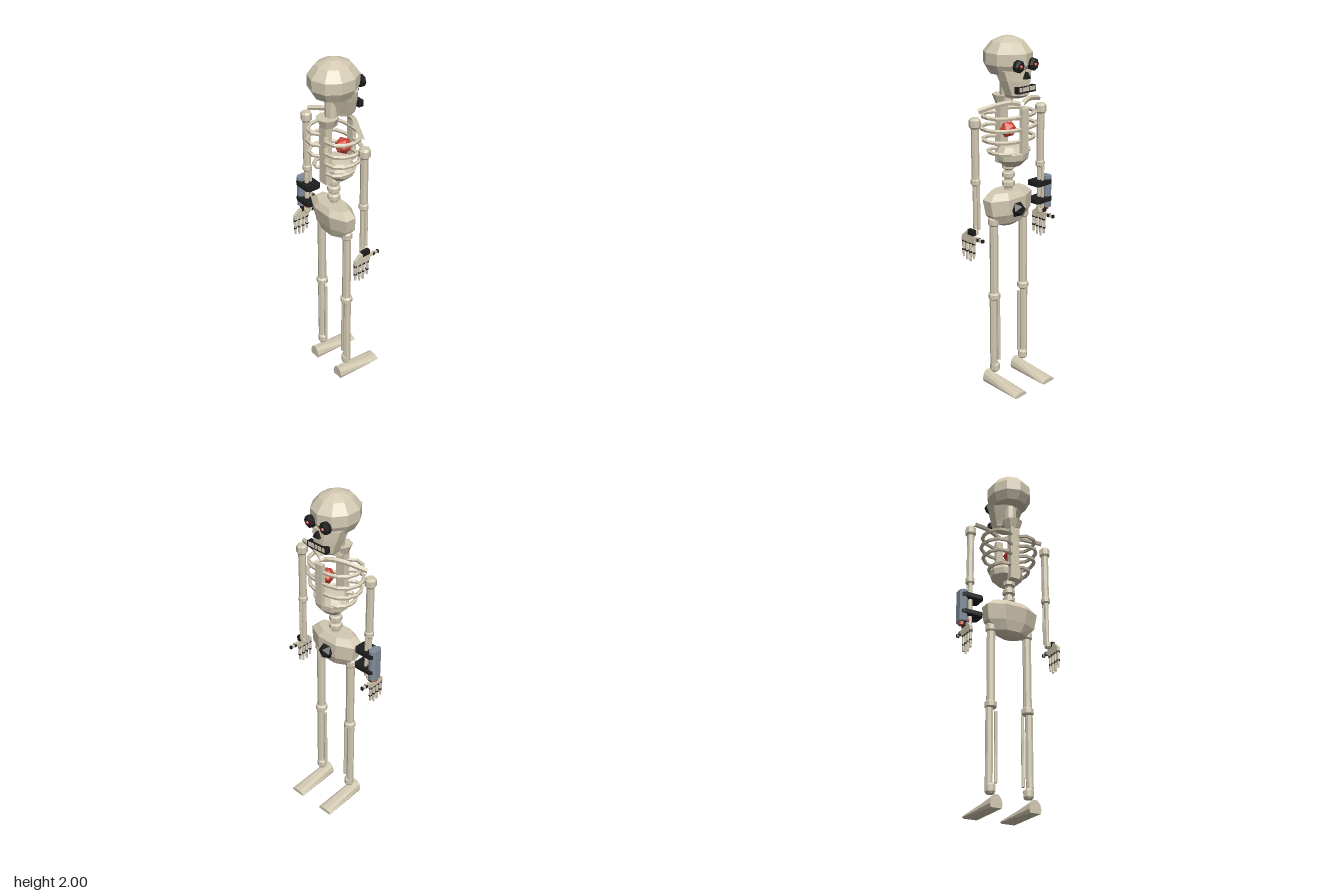
import * as THREE from 'three';

const mat = (name, color) => {
  const m = new THREE.MeshStandardMaterial({ color });
  m.name = name;
  return m;
};

// Faceted copy of a geometry
const facet = (g) => {
  const f = g.index ? g.toNonIndexed() : g;
  f.computeVertexNormals();
  return f;
};

// Closed skin through equal-sized rings of [x, y, z] points
function loft(rings) {
  const n = rings[0].length, tri = [];
  const mid = (r) => [0, 1, 2].map((k) => r.reduce((s, p) => s + p[k], 0) / n);
  for (let i = 0; i < n; i++) {
    const j = (i + 1) % n;
    for (let k = 0; k + 1 < rings.length; k++) {
      const [a, b] = [rings[k], rings[k + 1]];
      tri.push([a[i], a[j], b[j]], [a[i], b[j], b[i]]);
    }
    const e = rings[rings.length - 1];
    tri.push([mid(rings[0]), rings[0][j], rings[0][i]], [mid(e), e[i], e[j]]);
  }
  // Turn the corners outward
  let vol = 0;
  for (const [a, b, c] of tri) {
    vol += new THREE.Vector3(...a).dot(new THREE.Vector3(...b).cross(new THREE.Vector3(...c)));
  }
  if (vol < 0) tri.forEach((t) => t.reverse());
  const g = new THREE.BufferGeometry();
  g.setAttribute('position', new THREE.Float32BufferAttribute(tri.flat(2), 3));
  return g;
}

// Level ring of n points with half width w between depths z0 and z1
const ring = (n, y, w, z0, z1) => Array.from({ length: n }, (_, i) => {
  const a = ((i + 0.5) / n) * Math.PI * 2, k = 1 / Math.cos(Math.PI / n);
  return [Math.sin(a) * w * k, y, (z0 + z1) / 2 + (Math.cos(a) * k * (z1 - z0)) / 2];
});

export function createModel() {
  const bone = mat('bone', 0xd3c9b2), black = mat('black', 0x1d1d1e);
  const red = mat('red', 0xd2483a), steel = mat('steel', 0x808c9a);
  const model = new THREE.Group();
  const body = new THREE.Group();
  body.name = 'skeleton';
  body.position.x = 0.012;
  model.add(body);

  const add = (name, geo, m, x = 0, y = 0, z = 0, parent = body) => {
    const mesh = new THREE.Mesh(facet(geo), m);
    mesh.name = name;
    mesh.position.set(x, y, z);
    parent.add(mesh);
    return mesh;
  };
  const box = (name, m, w, h, d, x, y, z, parent) =>
    add(name, new THREE.BoxGeometry(w, h, d), m, x, y, z, parent);
  // Upright rod from y0 to y1
  const rod = (name, m, r, y0, y1, x, z, parent, r1 = r) =>
    add(name, new THREE.CylinderGeometry(r1, r, y1 - y0, 8), m, x, (y0 + y1) / 2, z, parent);
  const lathe = (name, m, pts, seg, x, y, z, parent) =>
    add(name, new THREE.LatheGeometry(pts.map((p) => new THREE.Vector2(...p)), seg), m, x, y, z, parent);
  const joint = (name, r, y0, y1, x, z, parent) => lathe(name, bone,
    [[0, y0], [r * 0.75, y0], [r, y0 + (y1 - y0) * 0.2], [r, y0 + (y1 - y0) * 0.8], [r * 0.7, y1], [0, y1]],
    8, x, 0, z, parent);
  const tube = (name, pts, r) => add(name, new THREE.TubeGeometry(
    new THREE.CatmullRomCurve3(pts.map((p) => new THREE.Vector3(...p))), 8, r, 5), bone);

  // Skull
  const cranium = lathe('cranium', bone, [[0, 1.8], [0.1, 1.81], [0.127, 1.86], [0.127, 1.92],
    [0.085, 1.973], [0.03, 1.998], [0, 2]], 10, 0, 0, 0.036);
  cranium.scale.z = 1.07;
  add('jaw', loft([ring(8, 1.69, 0.053, -0.07, 0.03), ring(8, 1.705, 0.06, -0.092, 0.035),
    ring(8, 1.78, 0.085, -0.093, 0.062), ring(8, 1.835, 0.1, -0.09, 0.085)]), bone);
  for (const s of [-1, 1]) {
    const eye = lathe('eyeSocket', black, [[0, -0.035], [0.033, -0.03], [0.033, -0.008], [0.02, 0], [0, 0]],
      8, s * 0.052, 1.862, -0.113);
    eye.rotation.x = -Math.PI / 2;
    add('pupil', new THREE.IcosahedronGeometry(0.01, 0), red, s * 0.052, 1.862, -0.114);
  }
  const nose = add('nose', new THREE.CylinderGeometry(0.024, 0.024, 0.03, 3), black, 0, 1.805, -0.097);
  nose.rotation.x = -Math.PI / 2;
  box('mouth', black, 0.13, 0.034, 0.03, 0, 1.738, -0.091);
  for (let i = 0; i < 5; i++) box('tooth', bone, 0.017, 0.022, 0.008, (i - 2) * 0.024, 1.742, -0.106);

  // Neck, spine and lower vertebrae
  rod('neck', bone, 0.035, 1.64, 1.8, 0, 0.05);
  rod('neckBase', bone, 0.04, 1.64, 1.69, 0, 0.075, body, 0.06);
  box('spine', bone, 0.056, 0.33, 0.042, 0, 1.475, 0.088);
  rod('lowerSpine', bone, 0.022, 1.14, 1.33, 0, 0.035);
  for (const y of [1.3, 1.25, 1.2]) joint('vertebra', 0.036, y - 0.018, y + 0.02, 0, 0.035);

  // Rib cage
  box('breastbone', bone, 0.045, 0.24, 0.025, 0, 1.515, -0.083);
  for (const [y, k] of [[1.59, 0.95], [1.525, 1], [1.46, 0.92], [1.39, 0.7]]) {
    for (const s of [-1, 1]) {
      const path = [[0.02, 0.07], [0.08, 0.105], [0.14, 0.07], [0.163, 0], [0.14, -0.07], [0.08, -0.105], [0, -0.113]];
      tube('rib', path.map(([x, z]) => [s * x * k, y, 0.032 + z * (0.35 + 0.65 * k)]), 0.011);
    }
  }
  for (const s of [-1, 1]) {
    tube('collarbone', [[s * 0.01, 1.655, -0.06], [s * 0.06, 1.668, -0.045], [s * 0.13, 1.66, -0.012], [s * 0.225, 1.637, 0.03]], 0.014);
  }
  add('heart', new THREE.IcosahedronGeometry(0.047, 0), red, 0.035, 1.515, 0.0);
  lathe('lowerRibBowl', bone, [[0, 1.305], [0.05, 1.31], [0.094, 1.35], [0.1, 1.385], [0.075, 1.425], [0, 1.43]],
    10, 0, 0, 0.005).scale.z = 0.85;

  // Pelvis
  add('pelvis', loft([ring(8, 0.965, 0.045, 0.015, 0.07), ring(8, 0.99, 0.1, -0.015, 0.09),
    ring(8, 1.045, 0.145, -0.035, 0.105), ring(8, 1.13, 0.157, -0.035, 0.12), ring(8, 1.165, 0.115, -0.01, 0.1)]), bone);
  add('pelvisCore', new THREE.IcosahedronGeometry(0.046, 0), black, 0, 1.065, -0.034);

  const footRing = (z, w, h) => [[-0.85, 0], [-1, 0.3], [-0.8, 0.72], [-0.35, 1], [0.35, 1], [0.8, 0.72], [1, 0.3], [0.85, 0]]
    .map(([x, y]) => [x * w, y * h, z]);

  for (const s of [-1, 1]) {
    // Leg
    const leg = new THREE.Group();
    leg.name = 'leg';
    leg.position.x = s * 0.113;
    body.add(leg);
    joint('hipJoint', 0.031, 0.98, 1.03, 0, 0.035, leg);
    rod('thighBone', bone, 0.024, 0.57, 1, 0, 0.035, leg);
    joint('knee', 0.034, 0.54, 0.582, 0, 0.035, leg);
    rod('shinBone', bone, 0.021, 0.12, 0.56, s * 0.008, 0.035, leg);
    rod('calfBone', bone, 0.009, 0.145, 0.53, -s * 0.032, 0.035, leg);
    joint('ankle', 0.028, 0.085, 0.14, 0, 0.035, leg);
    add('foot', loft([footRing(0.1, 0.036, 0.068), footRing(-0.178, 0.047, 0.024)]), bone, 0, 0, 0, leg);

    // Arm
    const arm = new THREE.Group();
    arm.name = 'arm';
    arm.position.set(s * 0.245, 0, 0.031);
    body.add(arm);
    joint('shoulder', 0.031, 1.55, 1.607, 0, 0, arm);
    rod('upperArmBone', bone, 0.021, 1.27, 1.56, 0, 0, arm);
    joint('elbow', 0.026, 1.243, 1.283, 0, 0, arm);
    rod('forearmBone', bone, 0.013, 0.98, 1.26, 0, 0.006, arm);
    rod('thinForearmBone', bone, 0.009, 1, 1.25, 0, -0.02, arm);
    joint('wrist', 0.018, 0.965, 1.0, s * 0.005, 0.005, arm);

    // Hand with four fingers and a thumb
    const hand = new THREE.Group();
    hand.name = 'hand';
    hand.position.set(s * 0.273, 0, 0);
    body.add(hand);
    box('wristBand', black, 0.022, 0.03, 0.045, 0, 0.985, 0.037, hand);
    add('palm', loft([[0.925, 0.012, 0.112], [0.955, 0.012, 0.108], [0.985, 0.025, 0.075]].map(([y, z0, z1]) =>
      [[-0.009, y, z0], [0.009, y, z0], [0.009, y, z1], [-0.009, y, z1]])), bone, 0, 0, 0, hand);
    for (let i = 0; i < 4; i++) {
      const z = 0.023 + i * 0.027, tip = [0.835, 0.815, 0.818, 0.83][i];
      rod('knuckle', black, 0.01, 0.917, 0.929, 0, z, hand);
      rod('fingerBone', bone, 0.0085, 0.872, 0.92, 0, z, hand);
      rod('fingerJoint', black, 0.009, 0.866, 0.875, 0, z, hand);
      rod('fingertip', bone, 0.006, tip, 0.868, 0, z, hand, 0.008);
    }
    box('thumbBase', bone, 0.016, 0.018, 0.04, 0, 0.957, 0, hand);
    box('thumbJoint', black, 0.018, 0.019, 0.012, 0, 0.956, -0.016, hand);
    box('thumbBone', bone, 0.014, 0.015, 0.02, 0, 0.955, -0.032, hand);
    box('thumbTip', black, 0.016, 0.017, 0.01, 0, 0.955, -0.047, hand);
  }

  // Forearm device: chamfered casing held by two clamps
  const device = new THREE.Group();
  device.name = 'forearmDevice';
  model.add(device);
  const slab = (name, m, x0, x1, z0, z1, c, y0, y1) => add(name, loft([y0, y1].map((y) => [
    [x0 + c, y, z0], [x1 - c, y, z0], [x1, y, z0 + c], [x1, y, z1 - c],
    [x1 - c, y, z1], [x0 + c, y, z1], [x0, y, z1 - c], [x0, y, z0 + c]])), m, 0, 0, 0, device);
  slab('casing', steel, -0.302, -0.254, -0.007, 0.066, 0.015, 1.0, 1.185);
  for (const y of [1.154, 1.053]) slab('clamp', black, -0.292, -0.168, -0.018, 0.077, 0.015, y - 0.012, y + 0.012);
  rod('emitter', red, 0.018, 0.982, 1.02, -0.279, 0.03, device);
  box('emitterLight', red, 0.03, 0.018, 0.02, -0.258, 1.01, 0.04, device);

  return model;
}
